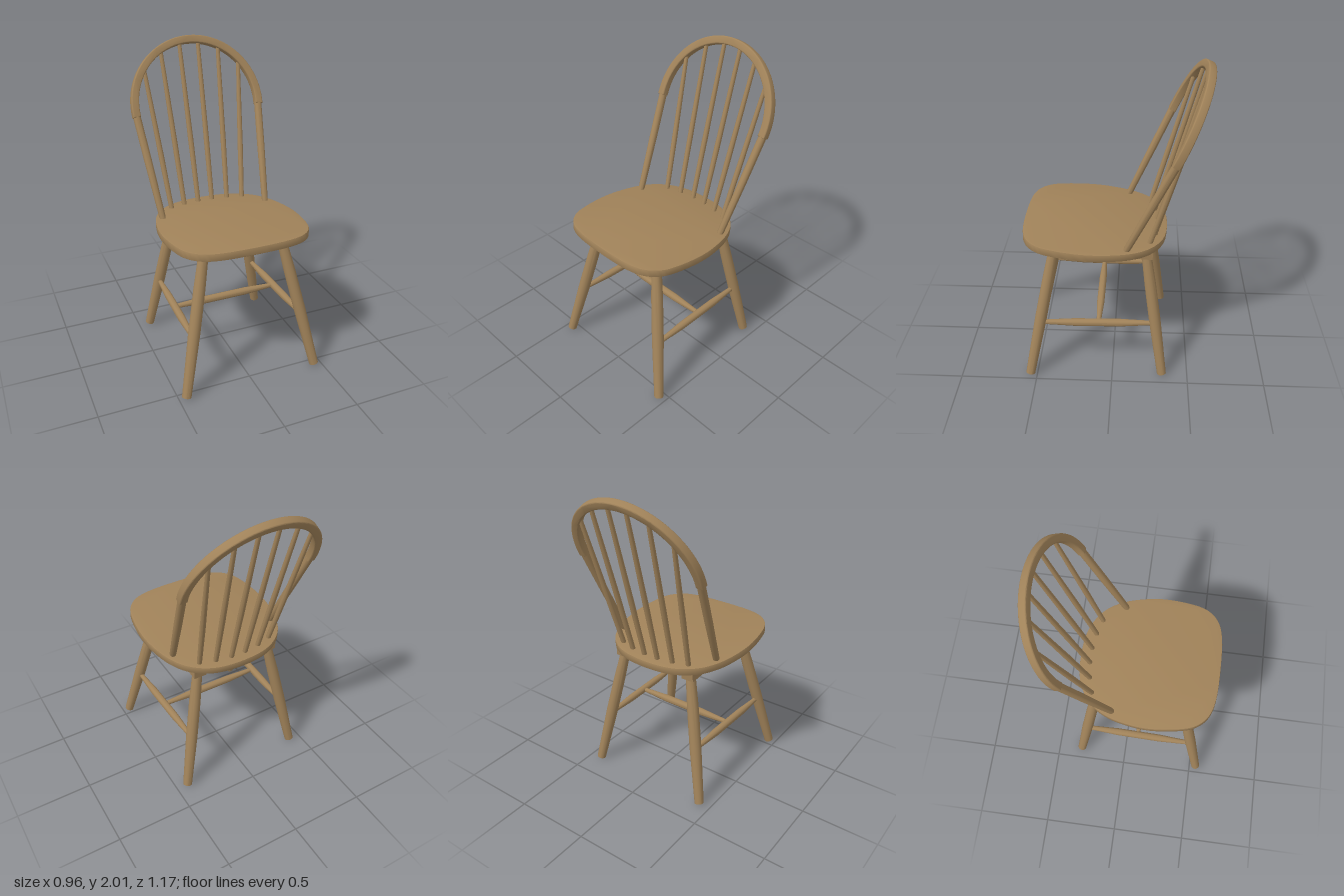
import * as THREE from 'three';
import { toCreasedNormals } from 'three/addons/utils/BufferGeometryUtils.js';

const V = (x, y, z) => new THREE.Vector3(x, y, z);

export function createModel() {
  const chair = new THREE.Group();
  chair.name = 'chair';
  const wood = new THREE.MeshStandardMaterial({ color: 0xa08259 });
  wood.name = 'wood';

  const add = (name, geometry, parent = chair) => {
    const mesh = new THREE.Mesh(geometry, wood);
    mesh.name = name;
    parent.add(mesh);
    return mesh;
  };

  // Turned rod from a to b; radii are spaced as [fraction, radius] pairs
  const rod = (name, a, b, radii) => {
    const length = a.distanceTo(b);
    const profile = [[0, 0], ...radii.map(([t, r]) => [t, r]), [1, 0]]
      .map(([t, r]) => new THREE.Vector2(r, t * length));
    const geometry = toCreasedNormals(new THREE.LatheGeometry(profile, 20), 0.6);
    const mesh = add(name, geometry);
    mesh.position.copy(a);
    mesh.quaternion.setFromUnitVectors(V(0, 1, 0), b.clone().sub(a).normalize());
    return mesh;
  };

  // Seat: rounded outline, tipped slightly up at the front
  const seatGroup = new THREE.Group();
  seatGroup.name = 'seatAssembly';
  seatGroup.position.y = 0.947;
  seatGroup.rotation.x = -0.065;
  chair.add(seatGroup);
  const half = [[0.25, 0.565], [0.345, 0.525], [0.405, 0.455], [0.435, 0.36], [0.455, 0.17],
    [0.44, 0.02], [0.4, -0.12], [0.33, -0.23], [0.2, -0.315]];
  const outline = [[0, 0.581], ...half, [0, -0.343],
    ...half.slice().reverse().map(([x, z]) => [-x, z])];
  const curve = new THREE.CatmullRomCurve3(outline.map(([x, z]) => V(x, -z, 0)), true);
  const seatShape = new THREE.Shape(curve.getPoints(96).map(p => new THREE.Vector2(p.x, p.y)));
  const seatGeometry = new THREE.ExtrudeGeometry(seatShape, {
    depth: 0.04, bevelEnabled: true, bevelThickness: 0.004, bevelSize: 0.004,
    bevelOffset: -0.004, bevelSegments: 2,
  });
  seatGeometry.rotateX(-Math.PI / 2).translate(0, -0.044, 0);
  add('seat', toCreasedNormals(seatGeometry, 0.6), seatGroup);

  for (const [side, s] of [['left', 1], ['right', -1]]) {
    // Runner under the seat
    add(`${side}Runner`, new THREE.BoxGeometry(0.085, 0.054, 0.67), seatGroup)
      .position.set(0.26 * s, -0.073, 0.08);

    // Splayed legs
    const legRadii = [[0, 0.03], [0.45, 0.038], [0.75, 0.037], [1, 0.031]];
    rod(`${side}FrontLeg`, V(0.45 * s, 0, 0.545), V(0.26 * s, 0.89, 0.37), legRadii);
    rod(`${side}BackLeg`, V(0.42 * s, 0, -0.33), V(0.26 * s, 0.85, -0.21), legRadii);

    // Side stretcher
    rod(`${side}Stretcher`, V(0.37 * s, 0.37, 0.47), V(0.352 * s, 0.37, -0.275),
      [[0, 0.014], [0.12, 0.018], [0.3, 0.025], [0.7, 0.025], [0.88, 0.018], [1, 0.014]]);
  }
  rod('crossStretcher', V(-0.36, 0.37, 0.09), V(0.36, 0.37, 0.09),
    [[0, 0.014], [0.12, 0.018], [0.3, 0.025], [0.7, 0.025], [0.88, 0.018], [1, 0.014]]);

  // Bent hoop: a square-section arc lying in the raked plane of the back
  const slope = 0.456;
  const backZ = y => -0.555 + slope * (1.97 - y);
  const start = -0.08;
  const bow = new THREE.Shape();
  bow.absarc(0, 0, 0.448, start, Math.PI - start, false);
  bow.absarc(0, 0, 0.412, Math.PI - start, start, true);
  const bowGeometry = new THREE.ExtrudeGeometry(bow, {
    depth: 0.036, curveSegments: 48, bevelEnabled: true,
    bevelThickness: 0.007, bevelSize: 0.007, bevelSegments: 3,
  });
  bowGeometry.translate(0, 0, -0.018);
  const hoop = add('backHoop', toCreasedNormals(bowGeometry, 0.6));
  hoop.position.set(0, 1.58, backZ(1.58));
  hoop.rotation.x = -Math.atan(slope);

  // Hoop posts and spindles
  const spindles = [[0.05, -0.27, 0.065], [0.155, -0.255, 0.2], [0.255, -0.225, 0.33]];
  for (const [side, s] of [['left', 1], ['right', -1]]) {
    rod(`${side}BackPost`, V(0.36 * s, 0.885, backZ(0.885)), V(0.428 * s, 1.555, backZ(1.555)),
      [[0, 0.015], [0.06, 0.015], [0.1, 0.021], [0.6, 0.025], [1, 0.025]]);
    spindles.forEach(([x, z, topX], i) => {
      const topY = 1.58 + 0.91 * Math.sqrt(0.42 ** 2 - topX ** 2);
      rod(`${side}Spindle${i + 1}`, V(x * s, 0.91, z), V(topX * s, topY, backZ(topY)),
        [[0, 0.016], [0.4, 0.018], [1, 0.013]]);
    });
  }
  return chair;
}
